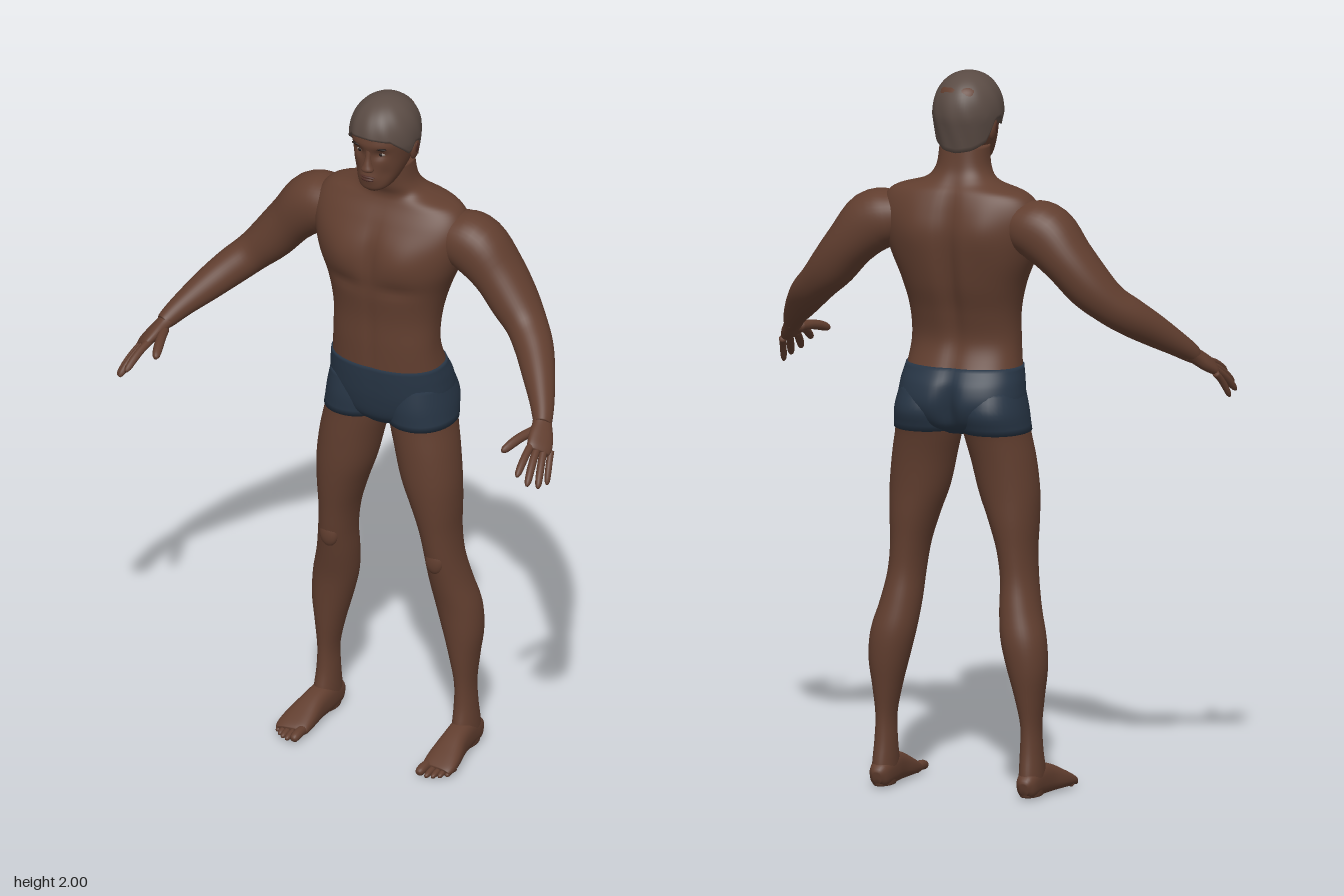
import * as THREE from 'three';

const V = (x, y, z) => new THREE.Vector3(x, y, z);
const mat = (name, color, side = THREE.FrontSide) => {
  const m = new THREE.MeshStandardMaterial({ color, side });
  m.name = name;
  return m;
};
const bell = (x, c, s) => Math.exp(-(((x - c) / s) ** 2));
const step = THREE.MathUtils.smoothstep;
const spow = (c, e) => Math.sign(c) * Math.abs(c) ** e;

// Closed-around surface: fn(u 0..1 around, v 0..1 along), capped at both ends
function grid(nu, nv, fn) {
  const pos = [], idx = [];
  for (let j = 0; j <= nv; j++) for (let i = 0; i < nu; i++) pos.push(...fn(i / nu, j / nv).toArray());
  for (let j = 0; j < nv; j++) for (let i = 0; i < nu; i++) {
    const k = (i + 1) % nu, a = j * nu + i, b = j * nu + k;
    idx.push(a, b, b + nu, a, b + nu, a + nu);
  }
  for (const j of [0, nv]) {
    const c = V(0, 0, 0), id = pos.length / 3;
    for (let i = 0; i < nu; i++) c.add(V().fromArray(pos, (j * nu + i) * 3));
    for (let i = 0; i < nu; i++) {
      const a = j * nu + i, b = j * nu + (i + 1) % nu;
      idx.push(...(j ? [a, b, id] : [b, a, id]));
    }
    pos.push(...c.divideScalar(nu).toArray());
  }
  const g = new THREE.BufferGeometry();
  g.setAttribute('position', new THREE.Float32BufferAttribute(pos, 3));
  g.setIndex(idx);
  g.computeVertexNormals();
  return g;
}

// Smooth value of the rows [x, y, z, radiusA, radiusB] at a fractional row index
function sample(rows, t) {
  const i = Math.min(Math.floor(t), rows.length - 2), f = t - i;
  const r = k => rows[THREE.MathUtils.clamp(k, 0, rows.length - 1)];
  return rows[0].map((_, c) => {
    const [a, b, d, e] = [r(i - 1)[c], r(i)[c], r(i + 1)[c], r(i + 2)[c]];
    return 0.5 * (2 * b + (d - a) * f + (2 * a - 5 * b + 4 * d - e) * f * f + (3 * b - a - 3 * d + e) * f ** 3);
  });
}

// Loft through rows; 'up' keeps the sections level, otherwise they follow the path
function loft(rows, { side = V(1, 0, 0), up, n = 2.1, seg = 32, sub = 4, from = 0, to = rows.length - 1, grow = 0, bump } = {}) {
  const last = rows.length - 1;
  return grid(seg, Math.round((to - from) * sub), (u, v) => {
    const t = from + (to - from) * v;
    const [x, y, z, a, b] = sample(rows, t);
    const p0 = sample(rows, Math.max(0, t - 0.05)), p1 = sample(rows, Math.min(last, t + 0.05));
    const T = up ? V(0, 1, 0) : V(p1[0] - p0[0], p1[1] - p0[1], p1[2] - p0[2]).normalize();
    const S = side.clone().addScaledVector(T, -T.dot(side)).normalize(), N = T.clone().cross(S);
    const w = u * Math.PI * 2;
    const p = V(x, y, z).addScaledVector(S, (a + grow) * spow(Math.cos(w), 2 / n))
      .addScaledVector(N, (b + grow) * spow(Math.sin(w), 2 / n));
    if (bump) bump(p);
    return p;
  });
}
// Level section from height, centre x, half width, front z and back z
const level = ([y, x, hw, zf, zb]) => [x, y, (zf + zb) / 2, hw, (zf - zb) / 2];

function mirrored(geo) {
  const g = geo.clone().scale(-1, 1, 1), a = g.index.array;
  for (let i = 0; i < a.length; i += 3) [a[i], a[i + 1]] = [a[i + 1], a[i]];
  g.computeVertexNormals();
  return g;
}

// Finger or toe from knuckle to tip, arched upwards a little
function digit(base, tip, r, arch, side) {
  const rows = [[0, 1], [0.35, 0.95], [0.65, 0.95], [0.9, 0.8], [1, 0.35]].map(([t, k]) => {
    const p = V(...base).lerp(V(...tip), t);
    return [p.x, p.y + arch * Math.sin(Math.PI * t), p.z, r * k, r * k];
  });
  return loft(rows, { side, seg: 12, sub: 3 });
}

export function createModel() {
  const model = new THREE.Group();
  const skin = mat('skin', 0x613e2f), cloth = mat('trunks navy', 0x273545);
  const hairMat = mat('hair', 0x5a4b44, THREE.DoubleSide), lipMat = mat('lips', 0x4d2c25);
  const white = mat('eye white', 0x8c8078), dark = mat('dark brown', 0x241a17);
  const add = (name, geo, m) => {
    const mesh = new THREE.Mesh(geo, m);
    mesh.name = name;
    model.add(mesh);
  };
  const pair = (name, geo, m) => {
    add(name + 'Left', geo, m);
    add(name + 'Right', mirrored(geo), m);
  };
  const blob = (x, y, z, a, b, c, tilt = 0) =>
    new THREE.SphereGeometry(1, 20, 14).scale(a, b, c).rotateZ(tilt).translate(x, y, z);

  // Torso, neck and pelvis share one profile
  const trunk = [
    [1.0, 0, 0.06, -0.06, -0.18], [1.03, 0, 0.135, -0.034, -0.235], [1.085, 0, 0.172, -0.02, -0.262],
    [1.14, 0, 0.171, -0.013, -0.254], [1.19, 0, 0.162, -0.01, -0.225], [1.26, 0, 0.155, -0.008, -0.202],
    [1.34, 0, 0.157, -0.008, -0.217], [1.42, 0, 0.175, 0, -0.243], [1.5, 0, 0.207, 0.006, -0.258],
    [1.57, 0, 0.226, -0.006, -0.262], [1.63, 0, 0.228, -0.036, -0.25], [1.677, 0, 0.195, -0.066, -0.232],
    [1.705, 0, 0.108, -0.074, -0.212], [1.74, 0, 0.076, -0.062, -0.195], [1.8, 0, 0.068, -0.055, -0.185],
  ].map(level);
  // Chest, breastbone, belly line, spine, shoulder blades and seat
  const muscles = p => {
    const x = Math.abs(p.x), y = p.y, f = step(p.z, -0.14, -0.05), b = 1 - step(p.z, -0.2, -0.13);
    p.z += f * (0.010 * bell(x, 0.09, 0.06) * bell(y, 1.53, 0.06) - 0.010 * bell(x, 0, 0.02) * bell(y, 1.53, 0.08)
      - 0.006 * bell(x, 0.08, 0.06) * bell(y, 1.445, 0.02) - 0.004 * bell(x, 0, 0.015) * bell(y, 1.3, 0.12))
      + b * (0.022 * bell(x, 0, 0.026) * bell(y, 1.45, 0.2) + 0.03 * bell(x, 0, 0.026) * bell(y, 1.08, 0.07)
      - 0.008 * bell(x, 0.1, 0.05) * bell(y, 1.58, 0.08));
  };
  const trunkOpts = { up: true, n: 2.3, seg: 96, sub: 6, bump: muscles };
  add('torso', loft(trunk, { ...trunkOpts, from: 3.5 }), skin);
  add('trunksPelvis', loft(trunk, { ...trunkOpts, to: 4, grow: 0.004 }), cloth);

  // Legs and the short trouser legs around their tops
  const leg = [
    [0.005, 0.218, 0.027, -0.12, -0.215], [0.03, 0.218, 0.031, -0.11, -0.222], [0.07, 0.2175, 0.032, -0.105, -0.218],
    [0.13, 0.216, 0.029, -0.118, -0.208], [0.2, 0.215, 0.027, -0.12, -0.206], [0.28, 0.211, 0.039, -0.112, -0.218],
    [0.36, 0.205, 0.055, -0.105, -0.23], [0.44, 0.1925, 0.062, -0.097, -0.232], [0.52, 0.177, 0.056, -0.08, -0.216],
    [0.6, 0.167, 0.05, -0.062, -0.2], [0.68, 0.158, 0.053, -0.05, -0.2], [0.76, 0.147, 0.067, -0.038, -0.206],
    [0.84, 0.1325, 0.082, -0.03, -0.21], [0.93, 0.117, 0.088, -0.028, -0.22], [1.01, 0.1, 0.09, -0.029, -0.236],
    [1.07, 0.095, 0.088, -0.027, -0.256], [1.13, 0.09, 0.08, -0.035, -0.235],
  ].map(level);
  pair('leg', loft(leg, { up: true, seg: 40, to: 15 }), skin);
  pair('trunksLeg', loft(leg, { up: true, seg: 40, from: 14, grow: 0.004 }), cloth);
  pair('kneecap', blob(0.166, 0.6, -0.076, 0.028, 0.04, 0.018), skin);

  // Feet with five toes
  const foot = [
    [0.218, 0.03, -0.226, 0.012, 0.016], [0.218, 0.035, -0.208, 0.028, 0.034], [0.218, 0.045, -0.15, 0.034, 0.045],
    [0.222, 0.041, -0.09, 0.037, 0.041], [0.227, 0.029, -0.03, 0.046, 0.029], [0.23, 0.019, 0.012, 0.048, 0.019],
    [0.229, 0.014, 0.03, 0.042, 0.012],
  ];
  pair('foot', loft(foot, { n: 2.5 }), skin);
  for (let i = 0; i < 5; i++) {
    const x = [0.198, 0.22, 0.237, 0.252, 0.267][i], r = i ? 0.0095 - i * 0.0004 : 0.0145;
    pair('toe', digit([x, r + 0.003, 0.005 - i * 0.003], [x - 0.001, r, 0.072 - i * i * 0.0022], r, 0.004, V(1, 0, 0)), skin);
  }

  // Arms, reaching outwards and forwards
  const arm = [
    [0.14, 1.605, -0.15, 0.06, 0.05], [0.2, 1.59, -0.152, 0.08, 0.075], [0.258, 1.57, -0.155, 0.085, 0.085],
    [0.322, 1.506, -0.156, 0.08, 0.07], [0.38, 1.436, -0.144, 0.072, 0.064], [0.43, 1.385, -0.122, 0.06, 0.055],
    [0.475, 1.345, -0.083, 0.054, 0.052], [0.52, 1.302, -0.028, 0.045, 0.045], [0.563, 1.258, 0.03, 0.035, 0.034],
    [0.588, 1.228, 0.07, 0.028, 0.027], [0.595, 1.218, 0.085, 0.026, 0.022],
  ];
  pair('arm', loft(arm, { side: V(0, 0, 1), seg: 40 }), skin);

  // Hands: palm, four fingers and a thumb
  const across = V(0.045, -0.03, -0.04);
  const palm = [
    [0.583, 1.232, 0.06, 0.026, 0.024], [0.595, 1.216, 0.085, 0.028, 0.02], [0.608, 1.197, 0.115, 0.036, 0.019],
    [0.62, 1.18, 0.145, 0.037, 0.015], [0.625, 1.172, 0.158, 0.03, 0.009],
  ];
  pair('palm', loft(palm, { side: across, n: 2.4 }), skin);
  [
    [[0.601, 1.19, 0.152], [0.615, 1.142, 0.262], 0.0115], [[0.616, 1.179, 0.152], [0.641, 1.115, 0.252], 0.0115],
    [[0.631, 1.17, 0.142], [0.66, 1.1, 0.225], 0.011], [[0.643, 1.163, 0.122], [0.662, 1.09, 0.178], 0.0095],
    [[0.585, 1.205, 0.1], [0.545, 1.182, 0.22], 0.014],
  ].forEach(([a, b, r], i) => pair(i < 4 ? 'finger' : 'thumb', digit(a, b, r, 0.007, across), skin));

  // Head with hollows for the eyes and a raised mouth
  const head = [
    [1.742, 0, 0.022, -0.012, -0.07], [1.755, 0, 0.043, 0, -0.1], [1.78, 0, 0.058, 0.003, -0.135],
    [1.81, 0, 0.069, 0.002, -0.165], [1.845, 0, 0.077, 0.001, -0.19], [1.885, 0, 0.082, 0.004, -0.2],
    [1.925, 0, 0.08, -0.002, -0.198], [1.96, 0, 0.066, -0.025, -0.185], [1.985, 0, 0.035, -0.06, -0.15],
  ].map(level);
  const face = p => {
    const x = Math.abs(p.x), f = step(p.z, -0.06, -0.02);
    p.z += f * (0.005 * bell(x, 0, 0.025) * bell(p.y, 1.787, 0.016) - 0.011 * bell(x, 0.033, 0.017) * bell(p.y, 1.861, 0.014)
      + 0.003 * bell(p.y, 1.888, 0.012) - 0.006 * bell(x, 0.045, 0.015) * bell(p.y, 1.8, 0.025));
  };
  add('head', loft(head, { up: true, n: 2.3, seg: 80, sub: 6, bump: face }), skin);
  add('nose', loft([
    [0, 1.806, 0, 0.012, 0.008], [0, 1.815, 0.004, 0.019, 0.016], [0, 1.83, 0.002, 0.013, 0.014],
    [0, 1.85, -0.002, 0.009, 0.011], [0, 1.878, -0.005, 0.009, 0.008],
  ], { up: true, seg: 24 }), skin);
  add('upperLip', blob(0, 1.7915, 0.003, 0.022, 0.0045, 0.008), lipMat);
  add('lowerLip', blob(0, 1.783, 0.003, 0.019, 0.0055, 0.008), lipMat);
  pair('eye', blob(0.033, 1.861, -0.019, 0.012, 0.0055, 0.009), white);
  pair('iris', blob(0.033, 1.861, -0.012, 0.005, 0.005, 0.0035), dark);
  pair('eyebrow', blob(0.035, 1.882, -0.005, 0.019, 0.004, 0.007, 0.1), dark);
  pair('ear', blob(0.082, 1.845, -0.115, 0.009, 0.031, 0.019, -0.12), skin);
  pair('earHollow', blob(0.0885, 1.85, -0.113, 0.004, 0.017, 0.009, -0.12), lipMat);

  // Short hair: a dome whose lower edge follows the hairline, tucked in at the rim
  const hairline = [[0, 1.912], [0.7, 1.905], [1.1, 1.872], [1.35, 1.85], [1.55, 1.88], [1.8, 1.875], [2.1, 1.812], [2.6, 1.792], [3.15, 1.785]];
  const rim = a => {
    const i = hairline.findIndex(h => h[0] > a), [a0, y0] = hairline[i - 1], [a1, y1] = hairline[i];
    return y0 + (y1 - y0) * (a - a0) / (a1 - a0);
  };
  add('hair', grid(72, 26, (u, v) => {
    const w = u * Math.PI * 2, y0 = rim(Math.min(w, Math.PI * 2 - w));
    const s = Math.max(0, (v - 0.04) / 0.96), y = y0 + (2 - y0) * Math.sin(s * Math.PI / 2);
    let k = y > 1.88 ? Math.sqrt(Math.max(0, 1 - ((y - 1.88) / 0.12) ** 2.4)) : 1 - 1.7 * (1.88 - y);
    if (v === 0) k *= 0.86;
    k *= 1 + 0.012 * Math.sin(w * 11 + y * 40) * (1 - s);
    return V(0.096 * k * Math.sin(w), y, -0.097 + 0.112 * k * Math.cos(w));
  }), hairMat);

  return model;
}
